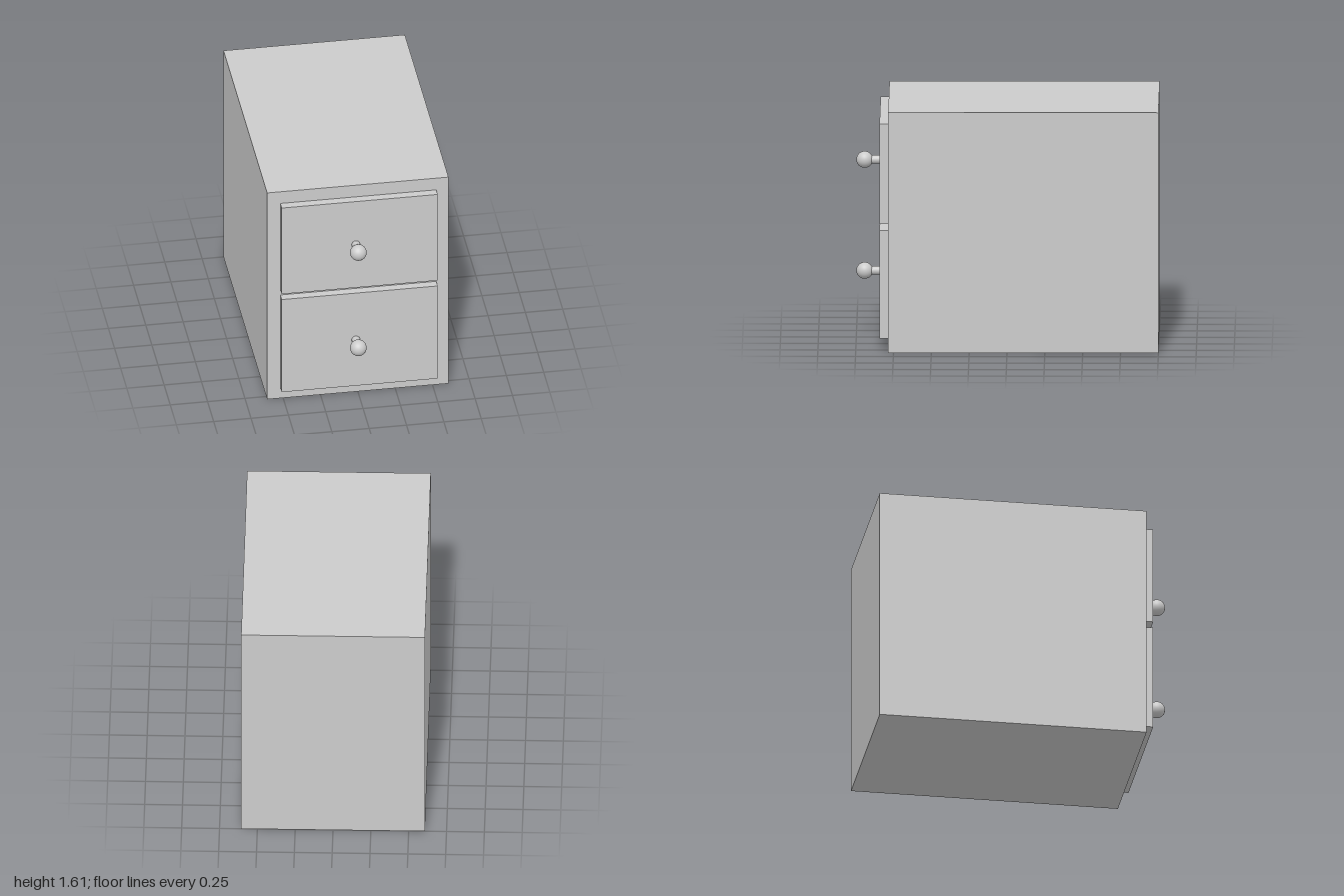
import * as THREE from 'three';

export function createModel() {
  const group = new THREE.Group();
  const material = new THREE.MeshStandardMaterial({ color: 0xcccccc });

  const add = (name, geometry, x, y, z, parent = group) => {
    const mesh = new THREE.Mesh(geometry, material);
    mesh.name = name;
    mesh.position.set(x, y, z);
    parent.add(mesh);
    return mesh;
  };

  // Cabinet body
  const frontZ = 0.785;
  const height = 1.612;
  add('cabinetBody', new THREE.BoxGeometry(1.214, height, frontZ + 1), 0, height / 2, (frontZ - 1) / 2);

  // Drawers: raised panel, round stem and ball knob
  const panelWidth = 1.044, panelDepth = 0.058, panelX = 0.003;
  const knobX = -0.023, knobRadius = 0.055, knobZ = 1 - knobRadius;
  const panelZ = frontZ + panelDepth;
  const drawers = [
    { name: 'upperDrawer', bottom: 0.849, top: 1.521, knobY: 1.187 },
    { name: 'lowerDrawer', bottom: 0.083, top: 0.806, knobY: 0.443 },
  ];
  for (const { name, bottom, top, knobY } of drawers) {
    const drawer = new THREE.Group();
    drawer.name = name;
    group.add(drawer);
    add('drawerPanel', new THREE.BoxGeometry(panelWidth, top - bottom, panelDepth),
      panelX, (top + bottom) / 2, frontZ + panelDepth / 2, drawer);
    const stem = new THREE.CylinderGeometry(0.028, 0.028, knobZ - panelZ, 32).rotateX(Math.PI / 2);
    add('knobStem', stem, knobX, knobY, (panelZ + knobZ) / 2, drawer);
    add('knobBall', new THREE.SphereGeometry(knobRadius, 32, 20), knobX, knobY, knobZ, drawer);
  }
  return group;
}
